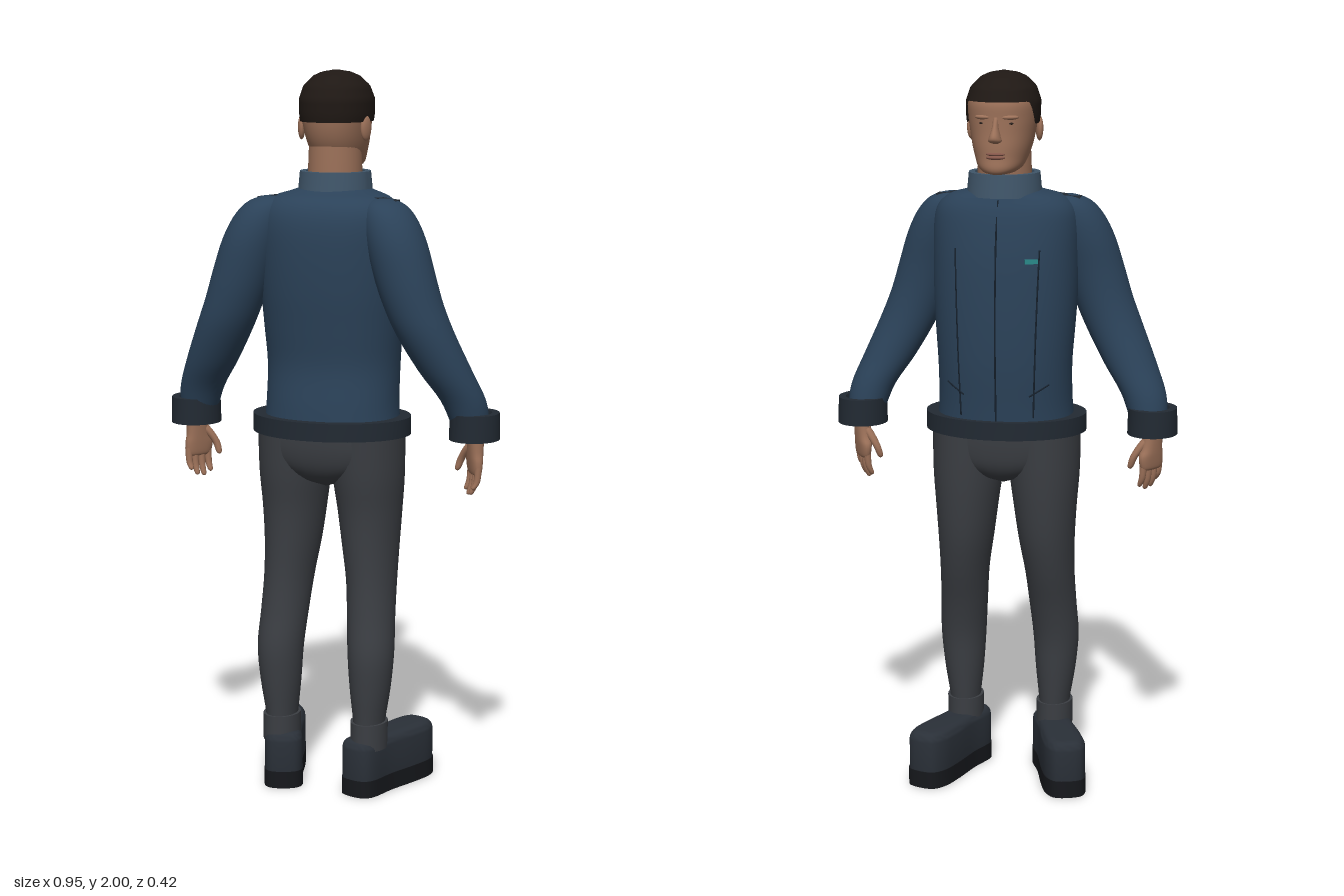
import * as THREE from 'three';
import { toCreasedNormals } from 'three/addons/utils/BufferGeometryUtils.js';

const mat = (color) => new THREE.MeshStandardMaterial({ color, side: THREE.DoubleSide });
const M = {
  jacket: mat(0x2b4259), trim: mat(0x222a33), collar: mat(0x40566a), trousers: mat(0x3b3e43),
  skin: mat(0x9c7159), lips: mat(0x85574a), hair: mat(0x1f1814), shoe: mat(0x2a3038),
  sole: mat(0x16181c), eye: mat(0x2a211d), seam: mat(0x17222e), badge: mat(0x2a8a8a),
};

function add(parent, name, geometry, material, pos = [0, 0, 0]) {
  const mesh = new THREE.Mesh(geometry, material);
  mesh.name = name;
  mesh.position.set(...pos);
  parent.add(mesh);
  return mesh;
}

// Surface over a grid of points: rows run upward, columns run round
function surface(rows, cols, point) {
  const pos = [], index = [];
  for (let i = 0; i < rows; i++) {
    for (let j = 0; j < cols; j++) {
      pos.push(...point(i / (rows - 1), (j / cols) * Math.PI * 2));
      if (i === rows - 1) continue;
      const a = i * cols + j, b = i * cols + ((j + 1) % cols);
      index.push(a, a + cols, b, b, a + cols, b + cols);
    }
  }
  const g = new THREE.BufferGeometry();
  g.setAttribute('position', new THREE.Float32BufferAttribute(pos, 3));
  g.setIndex(index);
  g.computeVertexNormals();
  return g;
}

const pw = (v, n) => Math.sign(v) * Math.pow(Math.abs(v), 2 / n);

// Smooth loft through level rings [cx, y, cz, rx, rz], listed bottom to top
function loft(rings, cols = 32, n = 2, steps = 4) {
  const centre = new THREE.CatmullRomCurve3(rings.map((r) => new THREE.Vector3(r[0], r[1], r[2])), false, 'catmullrom');
  const radius = new THREE.CatmullRomCurve3(rings.map((r) => new THREE.Vector3(r[3], r[4], 0)), false, 'catmullrom');
  return surface((rings.length - 1) * steps + 1, cols, (t, a) => {
    const c = centre.getPoint(t), r = radius.getPoint(t);
    return [c.x + r.x * pw(Math.cos(a), n), c.y, c.z + r.y * pw(Math.sin(a), n)];
  });
}

// Rings written as [y, half width, back z, front z]
const spans = (list) => list.map(([y, w, b, f]) => [0, y, (b + f) / 2, w, (b - f) / 2]);
// Linear reading of a ring list at a height
function ringAt(rings, y) {
  let i = 0;
  while (i < rings.length - 2 && rings[i + 1][1] < y) i++;
  const t = THREE.MathUtils.clamp((y - rings[i][1]) / (rings[i + 1][1] - rings[i][1]), 0, 1);
  return rings[i].map((v, k) => v + (rings[i + 1][k] - v) * t);
}

// Thick crisp band round an oval
function band(cx, cz, rx, rz, y0, y1, thick, flare = 0) {
  const p = [[-thick, y0], [flare, y0], [0, y1], [-thick, y1]];
  return toCreasedNormals(surface(4, 40, (t, a) => {
    const [o, y] = p[Math.round(t * 3)];
    return [cx + (rx + o) * Math.cos(a), y, cz + (rz + o) * Math.sin(a)];
  }), 0.7);
}

const TORSO = spans([
  [1.03, .19, .165, -.135], [1.1, .185, .16, -.14], [1.2, .185, .15, -.148], [1.3, .192, .16, -.15],
  [1.4, .198, .172, -.148], [1.5, .2, .178, -.142], [1.58, .2, .176, -.13], [1.63, .19, .163, -.118],
  [1.66, .16, .138, -.105], [1.675, .115, .1, -.098], [1.685, .09, .075, -.09],
]);
const HEAD = spans([
  [1.731, .02, -.05, -.13], [1.736, .042, -.02, -.142], [1.75, .06, .025, -.147], [1.775, .071, .055, -.144],
  [1.805, .08, .074, -.143], [1.84, .087, .086, -.14], [1.88, .093, .092, -.139], [1.92, .094, .092, -.138],
  [1.955, .082, .076, -.117], [1.98, .056, .046, -.083], [1.99, .032, .018, -.052], [1.994, .003, -.014, -.02],
]);

const chestZ = (x, y) => {
  const [, , cz, rx, rz] = ringAt(TORSO, y);
  return cz - rz * Math.pow(1 - Math.pow(Math.abs(x / rx), 2.2), 1 / 2.2);
};

function seam(parent, name, x0, x1, y0, y1) {
  const pts = [];
  for (let i = 0; i <= 8; i++) {
    const x = x0 + (x1 - x0) * i / 8, y = y0 + (y1 - y0) * i / 8;
    pts.push(new THREE.Vector3(x, y, chestZ(x, y)));
  }
  add(parent, name, new THREE.TubeGeometry(new THREE.CatmullRomCurve3(pts), 24, .0025, 6), M.seam);
}

function buildHead(g) {
  add(g, 'neck', loft([[0, 1.66, -.005, .074, .078], [0, 1.74, -.008, .073, .08], [0, 1.82, -.01, .07, .08]]), M.skin);
  add(g, 'head', loft(HEAD, 48, 2.15), M.skin);
  // Cropped hair follows the skull above a hairline that rises at the brow
  add(g, 'hair', surface(22, 64, (t, a) => {
    const front = Math.max(0, -Math.sin(a));
    const low = 1.862 + .062 * THREE.MathUtils.smoothstep(front, .25, .6);
    const y = low + (1.994 - low) * Math.sin(t * Math.PI / 2);
    const [, , cz, rx, rz] = ringAt(HEAD, y);
    return [(rx + .006) * pw(Math.cos(a), 2.15), y + .006 * t, cz + (rz + .005) * pw(Math.sin(a), 2.15)];
  }), M.hair);
  add(g, 'nose', loft([[0, 1.815, -.138, .006, .008], [0, 1.822, -.145, .018, .022], [0, 1.835, -.146, .015, .025],
    [0, 1.858, -.138, .009, .018], [0, 1.885, -.132, .007, .008]], 16), M.skin);
  for (const [y, h] of [[1.787, .005], [1.778, .006]]) {
    add(g, 'lip', new THREE.SphereGeometry(1, 16, 10), M.lips, [0, y, -.139]).scale.set(.026, h, .011);
  }
  for (const s of [-1, 1]) {
    add(g, 'eye', new THREE.SphereGeometry(1, 14, 10), M.eye, [s * .035, 1.868, -.124]).scale.set(.012, .005, .008);
    const brow = add(g, 'brow', new THREE.SphereGeometry(1, 14, 10), M.skin, [s * .035, 1.884, -.125]);
    brow.scale.set(.026, .007, .012);
    brow.rotation.y = s * -.3;
    const ear = add(g, 'ear', new THREE.SphereGeometry(1, 16, 12), M.skin, [s * .093, 1.845, .005]);
    ear.scale.set(.01, .034, .02);
    ear.rotation.y = s * -.35;
  }
}

function buildHand(g, s) {
  const hand = new THREE.Group();
  hand.name = 'hand';
  hand.position.set(s * .41, 1.0, .005);
  hand.rotation.y = s * .6;
  g.add(hand);
  add(hand, 'palm', loft([[0, -.088, -.002, .008, .03], [0, -.08, -.002, .014, .04], [0, -.05, -.004, .018, .043],
    [0, -.02, 0, .02, .034], [0, .05, .005, .024, .028]], 20, 2.4), M.skin);
  [-.033, -.011, .011, .031].forEach((z, i) => {
    const len = [.058, .068, .064, .048][i], y = -.078;
    add(hand, 'finger', loft([[-s * .014, y - len, z, .001, .001], [-s * .013, y - len + .006, z, .007, .007],
      [-s * .004, y - len / 2, z, .009, .0095], [0, y + .015, z, .01, .01]], 12), M.skin);
  });
  add(hand, 'thumb', loft([[-s * .034, -.085, -.05, .001, .001], [-s * .033, -.078, -.05, .008, .008],
    [-s * .024, -.05, -.046, .011, .011], [-s * .01, -.015, -.026, .013, .014], [0, .01, -.01, .008, .01]], 12), M.skin);
}

function buildArm(g, s) {
  const arm = new THREE.Group();
  arm.name = s > 0 ? 'leftArm' : 'rightArm';
  g.add(arm);
  add(arm, 'sleeve', loft([
    [.4, 1.05, .014, .052, .056], [.382, 1.12, .03, .062, .062], [.34, 1.2, .056, .073, .07],
    [.291, 1.3, .08, .08, .077], [.258, 1.38, .088, .082, .08], [.232, 1.46, .088, .084, .083],
    [.208, 1.54, .082, .083, .086], [.188, 1.6, .074, .075, .08], [.172, 1.64, .066, .058, .064],
    [.162, 1.658, .06, .03, .035], [.16, 1.662, .06, .002, .002],
  ].map(([x, ...r]) => [s * x, ...r])), M.jacket);
  add(arm, 'cuff', band(s * .41, .012, .067, .075, 1.012, 1.085, .02, .002), M.trim);
  buildHand(arm, s);
  add(g, 'shoulderStrap', new THREE.BoxGeometry(.1, .008, .035), M.trim, [s * .15, 1.659, .05]).rotation.z = -s * .12;
}

function buildLeg(g, s) {
  const leg = new THREE.Group();
  leg.name = s > 0 ? 'leftLeg' : 'rightLeg';
  g.add(leg);
  add(leg, 'trouserLeg', loft([
    [.13, .13, .075, .042, .053], [.13, .2, .072, .043, .058], [.133, .3, .073, .056, .067],
    [.134, .4, .071, .064, .073], [.128, .5, .052, .066, .077], [.122, .6, .031, .069, .088],
    [.115, .7, .018, .078, .1], [.111, .8, .014, .088, .109], [.108, .9, .018, .098, .12], [.105, 1.03, .022, .102, .128],
  ].map(([x, ...r]) => [s * x, ...r])), M.trousers);
  add(leg, 'ankleBand', band(s * .13, .073, .051, .064, .13, .205, .015), M.trousers);

  // Blocky shoe, toes turned out
  const shoe = new THREE.Group();
  shoe.name = 'shoe';
  shoe.position.set(s * .13, 0, .06);
  shoe.rotation.y = -s * .34;
  leg.add(shoe);
  const half = [[.03, -.082], [.05, -.06], [.05, .03], [.057, .14], [.054, .205], [.034, .24]];
  const outline = [...half, ...half.map(([x, y]) => [-x, y]).reverse()].map(([x, y]) => new THREE.Vector2(x, y));
  const shape = new THREE.Shape(new THREE.CatmullRomCurve3(
    outline.map((p) => new THREE.Vector3(p.x, p.y, 0)), true).getPoints(48).slice(0, -1).map((p) => new THREE.Vector2(p.x, p.y)));
  const plate = (y, depth, bevel) => toCreasedNormals(new THREE.ExtrudeGeometry(shape, {
    depth, bevelEnabled: bevel > 0, bevelSize: bevel, bevelThickness: bevel, bevelOffset: -bevel, bevelSegments: 5,
  }).rotateX(-Math.PI / 2).translate(0, y, 0), .7);
  add(shoe, 'shoeUpper', plate(.045, .088, .026), M.shoe);
  add(shoe, 'shoeSole', plate(0, .048, 0), M.sole).scale.set(1.03, 1, 1.01);
}

export function createModel() {
  const model = new THREE.Group();
  model.name = 'standingMan';
  // The figure looks toward -z, turned a little to one side
  const body = new THREE.Group();
  body.name = 'body';
  body.rotation.y = -.16;
  model.add(body);

  add(body, 'jacketBody', loft(TORSO, 48, 2.2), M.jacket);
  add(body, 'collar', band(0, -.01, .097, .099, 1.665, 1.728, .016, .006), M.collar);
  add(body, 'hemBand', band(0, .018, .224, .174, 1.01, 1.06, .04), M.trim);
  add(body, 'trouserSeat', loft([[0, .865, .02, .01, .05], [0, .885, .02, .08, .095], [0, .92, .022, .165, .122],
    [0, .97, .024, .2, .134], [0, 1.04, .024, .2, .138]], 40, 2.3), M.trousers);

  // Front zip, panel seams, pocket slits and chest badge
  seam(body, 'zip', 0, 0, 1.06, 1.66);
  for (const s of [-1, 1]) {
    seam(body, 'panelSeam', s * .1, s * .115, 1.07, 1.53);
    seam(body, 'pocketSlit', s * .09, s * .14, 1.13, 1.16);
    buildArm(body, s);
    buildLeg(body, s);
  }
  add(body, 'chestBadge', new THREE.BoxGeometry(.035, .012, .006), M.badge, [-.095, 1.5, chestZ(-.095, 1.5)]).rotation.y = .3;

  buildHead(body);
  return model;
}
